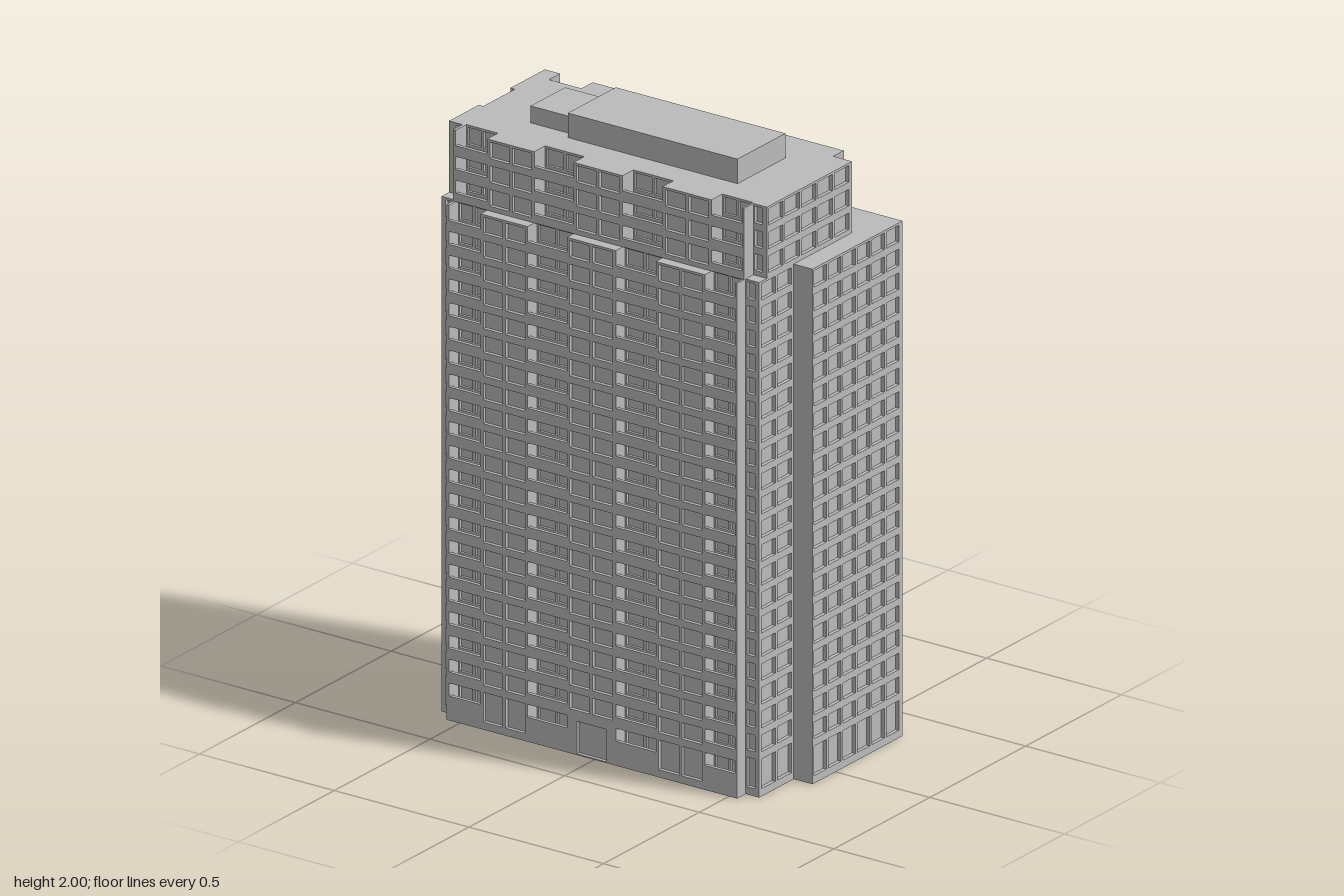
import * as THREE from 'three';
import { mergeGeometries } from 'three/addons/utils/BufferGeometryUtils.js';

const concrete = new THREE.MeshStandardMaterial({ color: 0xbbbbbb });
concrete.name = 'grey concrete';

const D = 0.012;                       // window reveal depth
const STOREY = 0.0778;
const level = i => (i === 0 ? 0 : 0.13 + STOREY * (i - 1));
const SETBACK = 21, ROOF = 24;         // storey numbers of the two roofs

// Yaw of each side, and whether its local x follows the world axis
const SIDES = {
  front: { yaw: 0, sign: 1 },
  right: { yaw: Math.PI / 2, sign: -1 },
  back: { yaw: Math.PI, sign: -1 },
  left: { yaw: -Math.PI / 2, sign: 1 },
};

function boxGeo(x0, x1, y0, y1, z0, z1) {
  return new THREE.BoxGeometry(x1 - x0, y1 - y0, z1 - z0)
    .translate((x0 + x1) / 2, (y0 + y1) / 2, (z0 + z1) / 2).toNonIndexed();
}

// n equal windows between a and b
function cells(a, b, n, gap = 0.011) {
  const w = (b - a) / n;
  return Array.from({ length: n }, (_, i) => [a + i * w + gap / 2, a + (i + 1) * w - gap / 2]);
}

function rectHole(a, b, y0, y1) {
  const p = new THREE.Path();
  p.moveTo(a, y0); p.lineTo(a, y1); p.lineTo(b, y1); p.lineTo(b, y0); p.closePath();
  return p;
}

// Thin wall sheet with window and balcony openings; top balconies are open to the sky
function sheet(a, b, f0, f1, windows, balconies, z, door) {
  const y0 = level(f0), y1 = level(f1);
  const s = new THREE.Shape();
  s.moveTo(a, y0); s.lineTo(b, y0); s.lineTo(b, y1);
  for (const [c0, c1] of [...balconies].sort((p, q) => q[0] - p[0])) {
    const rail = y1 - 0.05;
    s.lineTo(c1, y1); s.lineTo(c1, rail); s.lineTo(c0, rail); s.lineTo(c0, y1);
  }
  s.lineTo(a, y1); s.closePath();
  for (let f = f0; f < f1; f++) {
    const top = level(f + 1) - 0.008;
    for (const [c0, c1] of windows) {
      if (f === 0 && door && c1 > door[0] && c0 < door[1]) continue;
      s.holes.push(rectHole(c0, c1, f === 0 ? 0.025 : top - 0.054, top));
    }
    if (f < f1 - 1) for (const [c0, c1] of balconies) s.holes.push(rectHole(c0, c1, top - 0.042, top));
  }
  if (door) s.holes.push(rectHole(door[0], door[1], 0.004, 0.11));
  return new THREE.ExtrudeGeometry(s, { depth: D, bevelEnabled: false }).translate(0, 0, z - D);
}

// Complete facade: sheet, solid backing between balconies, slabs and inner walls in them
function facade(name, side, plane, recess, span, floors, windows, balconies = [], door) {
  const { yaw, sign } = SIDES[side];
  const local = ([p, q]) => (sign > 0 ? [p, q] : [-q, -p]);
  const [a, b] = local(span), [f0, f1] = floors;
  const wins = windows.map(local);
  const bal = balconies.map(local).sort((p, q) => p[0] - q[0]);
  const geos = [sheet(a, b, f0, f1, wins, bal, plane, door)];
  const inner = plane - recess;
  if (recess > D) {
    let start = a;
    for (const [c0, c1] of [...bal, [b, b]]) {
      if (c0 - start > 1e-4) geos.push(boxGeo(start, c0, level(f0), level(f1), inner, plane - D));
      start = c1;
    }
  }
  for (const [c0, c1] of bal) {
    for (let f = f0; f < f1; f++)
      geos.push(boxGeo(c0, c1, f ? level(f) - 0.008 : 0, level(f) + 0.006, inner, plane - D));
    geos.push(sheet(c0, c1, f0, f1, cells(c0, c1, 2), [], inner + D * 0.7));
  }
  const mesh = new THREE.Mesh(mergeGeometries(geos), concrete);
  mesh.name = name;
  mesh.rotation.y = yaw;
  return mesh;
}

export function createModel() {
  const tower = new THREE.Group();
  tower.name = 'apartmentTower';
  const solid = (name, ...d) => {
    const m = new THREE.Mesh(boxGeo(...d), concrete);
    m.name = name;
    tower.add(m);
  };
  const wall = (...args) => tower.add(facade(...args));
  const LOW = [0, SETBACK], HIGH = [SETBACK, ROOF];
  const yS = level(SETBACK), yR = level(ROOF);

  // Solid cores behind the wall sheets
  solid('lowerCore', -0.588, 0.568, 0, yS, -0.225, 0.288);
  solid('rearWingCore', -0.09, 0.638, 0, yS, -0.27, 0.12);
  solid('upperCore', -0.575, 0.568, yS, yR, -0.173, 0.245);

  // Rooftop plant rooms
  solid('plantRoom', -0.23, 0.4, yR, 2, -0.09, 0.16);
  solid('liftRoom', -0.39, -0.23, yR, 1.975, -0.05, 0.13);

  // Front: four balcony stacks with window pairs between
  const frontBalconies = [[-0.54, -0.423], [-0.248, -0.102], [0.08, 0.228], [0.41, 0.523]];
  const pairs = [...cells(-0.418, -0.252, 2), ...cells(-0.097, 0.072, 2), ...cells(0.233, 0.405, 2)];
  wall('frontBay', 'front', 0.345, 0.057, [-0.55, 0.53], LOW, pairs, frontBalconies, [-0.065, 0.045]);
  wall('upperFrontBay', 'front', 0.31, 0.065, [-0.55, 0.53], HIGH, pairs, frontBalconies);
  for (const [a, b] of [[-0.588, -0.55], [0.53, 0.568]]) {
    const slit = [[a + 0.004, b - 0.004]];
    wall('frontCorner', 'front', 0.3, D, [a, b], LOW, slit);
    wall('upperFrontCorner', 'front', 0.26, 0.015, [a, b], HIGH, slit);
  }

  // Right side: rear wing, front return and set-back storeys
  wall('rearWingSide', 'right', 0.65, D, [-0.35, 0.12], LOW, cells(-0.336, 0.118, 6));
  wall('rightSide', 'right', 0.58, D, [0.12, 0.3], LOW, cells(0.126, 0.294, 2));
  wall('upperRightSide', 'right', 0.58, D, [-0.185, 0.26], HIGH, cells(-0.173, 0.256, 5));

  // Back: wide wing, then stepped bays towards the model's right
  wall('rearWingBack', 'back', 0.35, 0.08, [-0.09, 0.638], LOW,
    [...cells(-0.08, 0.072, 2), ...cells(0.233, 0.4, 2), ...cells(0.4, 0.632, 3)], [[0.08, 0.228]]);
  wall('backBalconiesInner', 'back', 0.26, 0.035, [-0.25, -0.09], LOW, [], [[-0.243, -0.097]]);
  wall('backBay', 'back', 0.29, 0.065, [-0.42, -0.25], LOW, cells(-0.415, -0.255, 2));
  wall('backBalconiesOuter', 'back', 0.26, 0.035, [-0.55, -0.42], LOW, [], [[-0.542, -0.426]]);
  wall('backCorner', 'back', 0.24, 0.015, [-0.588, -0.55], LOW, [[-0.584, -0.554]]);
  wall('upperBack', 'back', 0.24, 0.067, [-0.588, 0.51], HIGH,
    [[-0.584, -0.552], ...pairs.slice(0, 4), ...cells(0.24, 0.505, 3)],
    [[-0.543, -0.423], [-0.25, -0.1], [0.075, 0.23]]);
  wall('upperBackCorner', 'back', 0.185, D, [0.51, 0.568], HIGH, [[0.516, 0.562]]);

  // Left side: projecting balcony stack between window pairs
  const sideWindows = [...cells(-0.226, -0.064, 2)];
  wall('leftSideRear', 'left', 0.6, D, [-0.24, -0.06], LOW, sideWindows);
  wall('leftBalconies', 'left', 0.65, 0.062, [-0.06, 0.11], LOW, [], [[-0.05, 0.1]]);
  wall('leftSideFront', 'left', 0.6, D, [0.11, 0.3], LOW, cells(0.116, 0.286, 2));
  wall('upperLeftSide', 'left', 0.6, 0.025, [-0.24, 0.26], HIGH,
    [...sideWindows, ...cells(0.115, 0.244, 2)], [[-0.06, 0.105]]);

  return tower;
}
